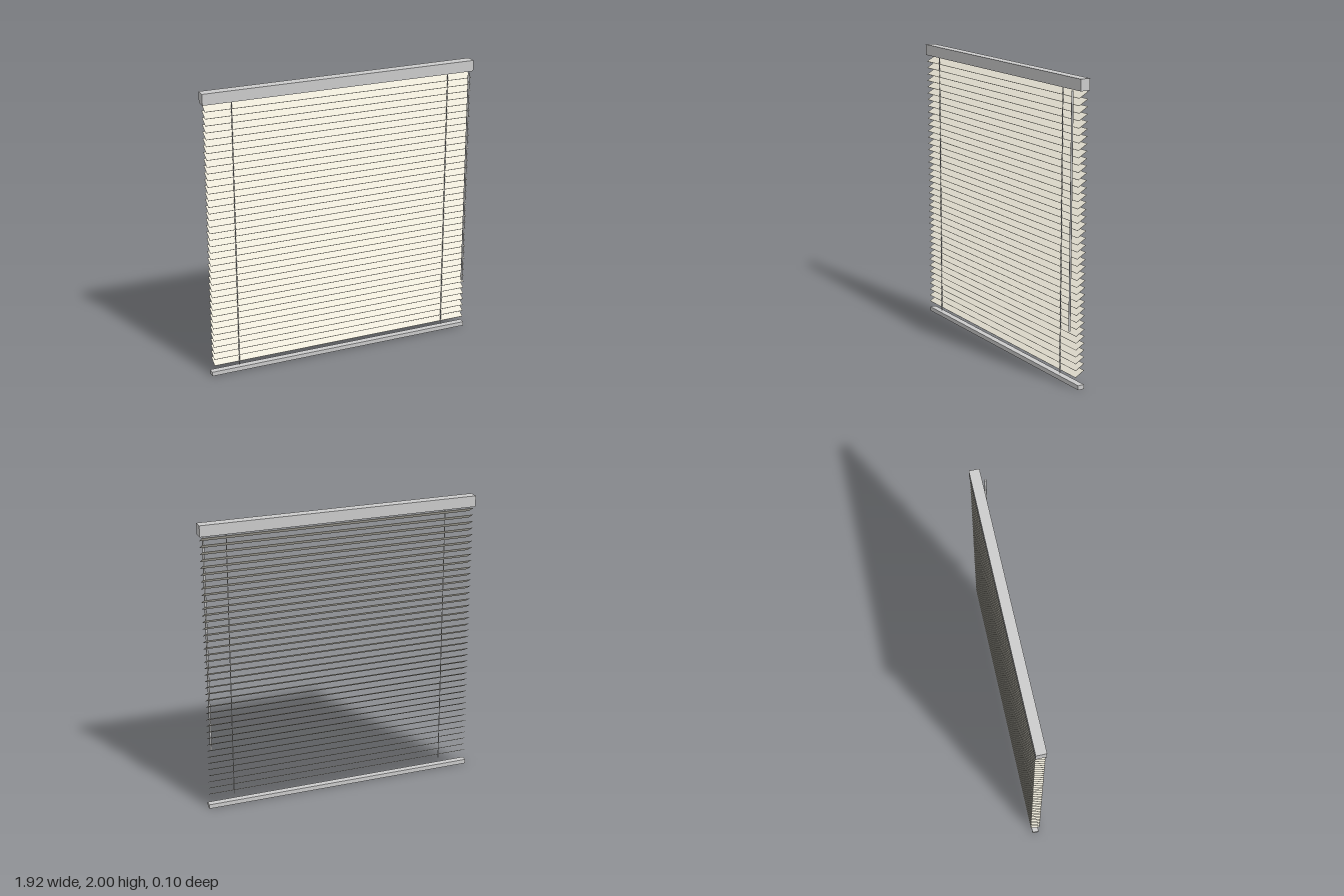
import * as THREE from 'three';

export function createModel() {
  const group = new THREE.Group();
  const grey = new THREE.MeshStandardMaterial({ color: 0xcccccc });
  const cream = new THREE.MeshStandardMaterial({ color: 0xe6e2d3 });

  const add = (name, geometry, material, x, y, z) => {
    const mesh = new THREE.Mesh(geometry, material);
    mesh.name = name;
    mesh.position.set(x, y, z);
    group.add(mesh);
    return mesh;
  };

  // Rails at the top and bottom
  const depthCentre = -0.017;
  add('headRail', new THREE.BoxGeometry(1.92, 0.075, 0.069), grey, 0, 1.9625, depthCentre);
  add('bottomRail', new THREE.BoxGeometry(1.92, 0.03, 0.044), grey, 0, 0.015, depthCentre);

  // Evenly spaced slats, tilted with the front edge low
  const slatCount = 40;
  const slatGeometry = new THREE.BoxGeometry(1.89, 0.002, 0.075);
  for (let i = 0; i < slatCount; i++) {
    const y = THREE.MathUtils.lerp(0.1, 1.898, i / (slatCount - 1));
    const slat = add('slat' + (i + 1), slatGeometry, cream, 0, y, depthCentre);
    slat.rotation.x = Math.PI / 6;
  }

  // Cords running down the front edges of the slats
  const cordGeometry = new THREE.CylinderGeometry(0.003, 0.003, 1.87, 8);
  for (const side of [-1, 1]) {
    add(side > 0 ? 'leftCord' : 'rightCord', cordGeometry, grey, side * 0.767, 0.99, 0.015);
  }

  // Tilt wand hanging in front
  add('tiltWand', new THREE.CylinderGeometry(0.007, 0.007, 1.535, 8), grey, 0.912, 1.1575, 0.0445);

  return group;
}
